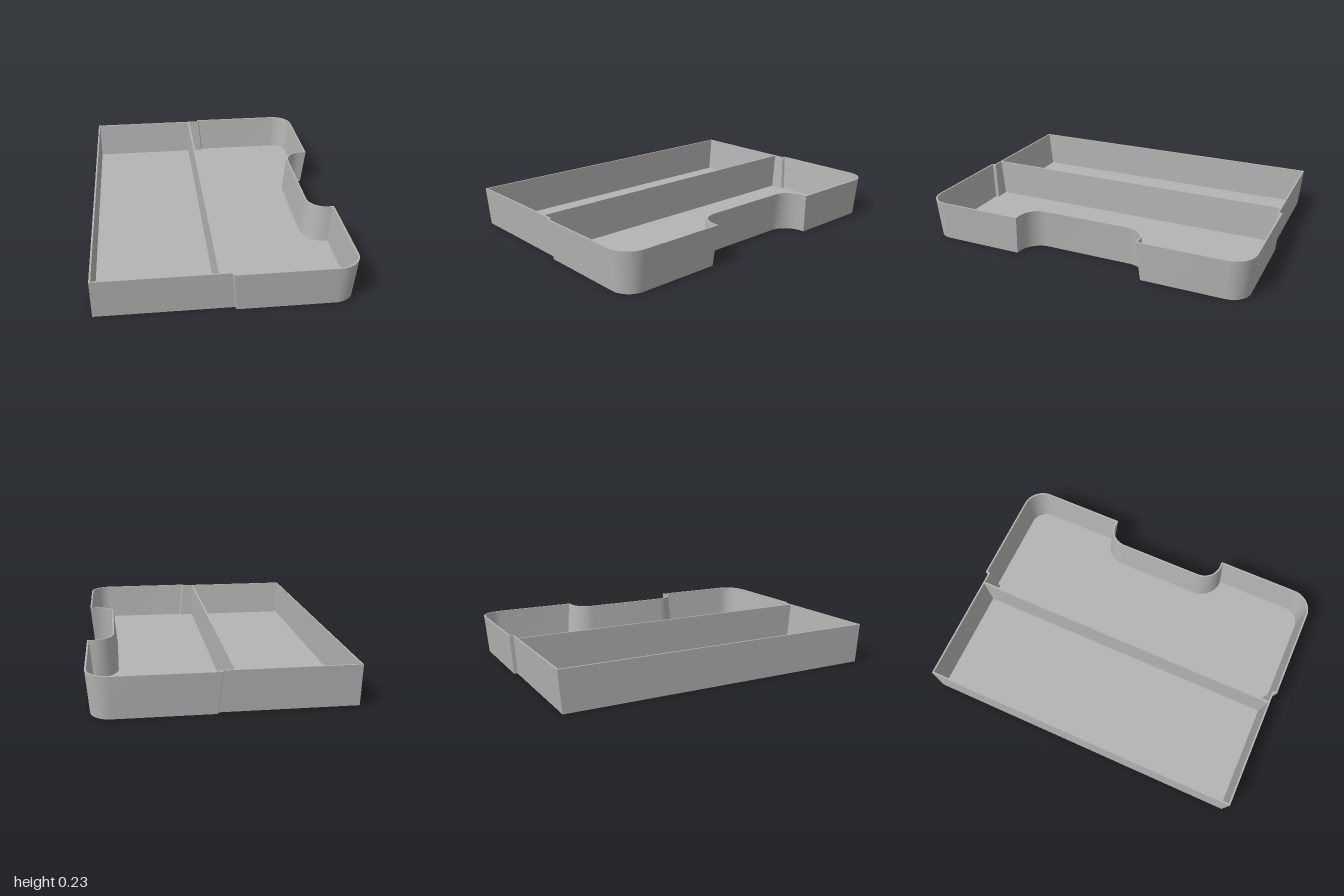
import * as THREE from 'three';
import { toCreasedNormals } from 'three/addons/utils/BufferGeometryUtils.js';

const HEIGHT = 0.235, FLOOR = 0.01, WALL = 0.01, DRAFT = 0.02;

// Closed outline as [x, z] pairs, inset by d; the straight left side has its own inset.
function outline(d, leftInset) {
  const half = [[-0.715 + leftInset, 0.98 - d], [0.018 + d, 0.98 - d], [0.024 + d, 1 - d]];
  const arc = (cx, cz, r, from, to, n) => {
    for (let i = 0; i <= n; i++) {
      const a = from + (to - from) * i / n;
      half.push([cx + r * Math.cos(a), cz + r * Math.sin(a)]);
    }
  };
  arc(0.585, 0.87, 0.13 - d, Math.PI / 2, 0, 12);          // rounded outer corner
  half.push([0.715 - d, 0.37 + d]);                        // sharp lip of the notch
  arc(0.68, 0.26, 0.11 + d, Math.PI / 2, Math.PI, 12);     // rounded notch corner
  return half.concat(half.map(([x, z]) => [x, -z]).reverse());
}

// Skin through a list of rings, each { y, points }.
function loft(rings) {
  const n = rings[0].points.length, position = [], index = [];
  for (const { y, points } of rings) for (const [x, z] of points) position.push(x, y, z);
  for (let r = 0; r < rings.length - 1; r++) {
    for (let i = 0; i < n; i++) {
      const a = r * n + i, b = r * n + (i + 1) % n;
      index.push(a, b, b + n, a, b + n, a + n);
    }
  }
  const g = new THREE.BufferGeometry();
  g.setAttribute('position', new THREE.Float32BufferAttribute(position, 3));
  g.setIndex(index);
  return toCreasedNormals(g, 0.5);
}

// Flat horizontal sheet facing up or down.
function sheet(points, y, up) {
  const s = up ? -1 : 1;
  const shape = new THREE.Shape(points.map(([x, z]) => new THREE.Vector2(x, s * z)));
  return new THREE.ShapeGeometry(shape).rotateX(s * Math.PI / 2).translate(0, y, 0);
}

export function createModel() {
  const group = new THREE.Group();
  const grey = new THREE.MeshStandardMaterial({ color: 0xb4b4b4 });
  grey.name = 'grey plastic';
  const add = (name, geometry) => {
    const mesh = new THREE.Mesh(geometry, grey);
    mesh.name = name;
    group.add(mesh);
  };

  const base = outline(DRAFT, 0), inside = outline(DRAFT + WALL, WALL);

  // Thin drafted wall: outside, rim, inside
  add('trayWall', loft([
    { y: 0, points: base },
    { y: HEIGHT, points: outline(0, 0) },
    { y: HEIGHT, points: outline(WALL, WALL) },
    { y: FLOOR, points: inside },
  ]));
  add('trayFloor', sheet(inside, FLOOR, true));
  add('trayUnderside', sheet(base, 0, false));

  // Divider, its ends leaning with the walls
  const divider = new THREE.BoxGeometry(0.012, HEIGHT - FLOOR, 2);
  divider.translate(-0.046, (HEIGHT + FLOOR) / 2, 0);
  const p = divider.attributes.position;
  for (let i = 0; i < p.count; i++) {
    const reach = p.getY(i) > HEIGHT / 2 ? 0.98 - WALL : 0.98 - WALL - DRAFT;
    p.setZ(i, Math.sign(p.getZ(i)) * reach);
  }
  divider.computeVertexNormals();
  add('divider', divider);

  return group;
}
